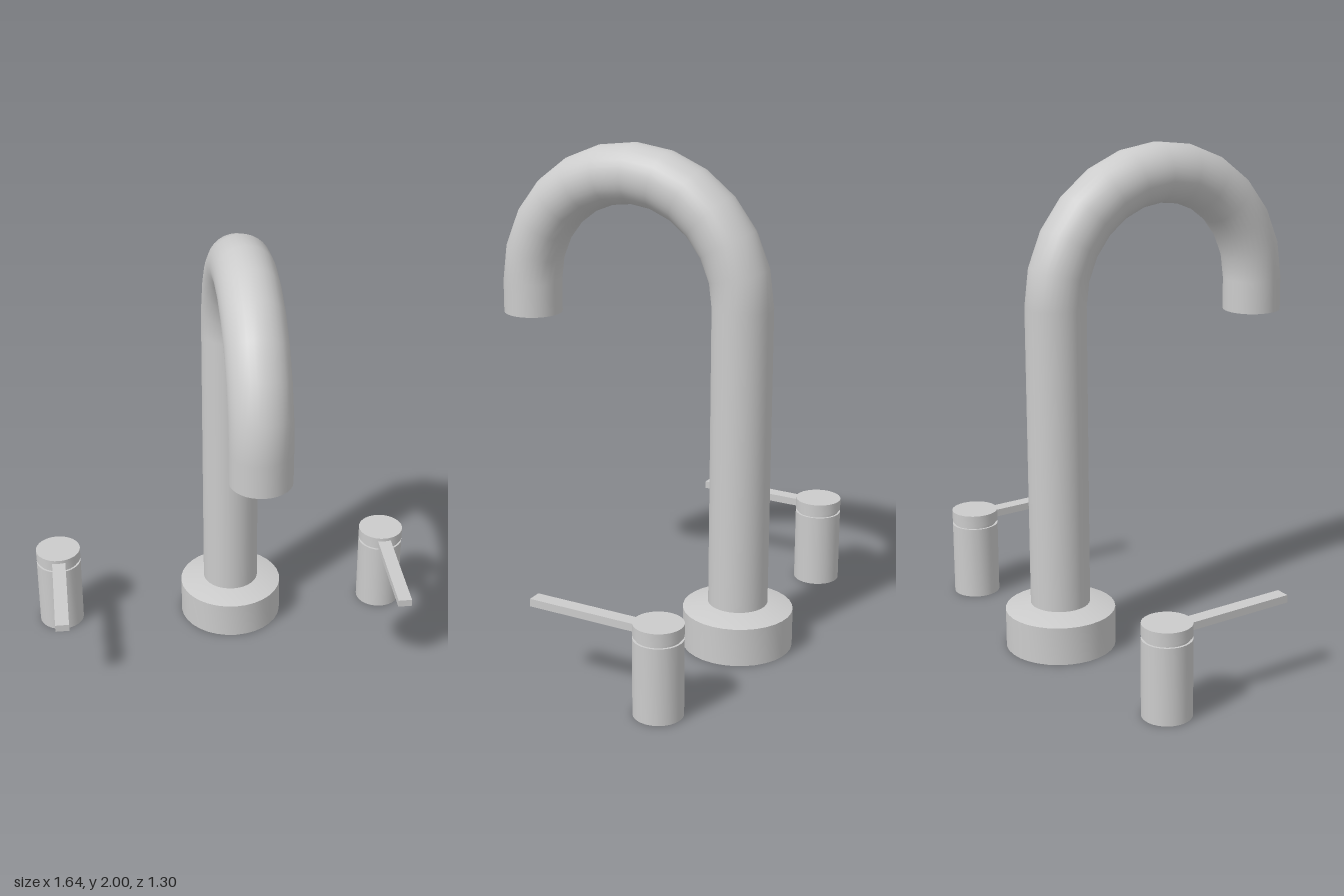
import * as THREE from 'three';
import { toCreasedNormals } from 'three/addons/utils/BufferGeometryUtils.js';

const material = new THREE.MeshStandardMaterial({ color: 0xcccccc });

function addMesh(parent, name, geometry, x = 0, y = 0, z = 0) {
  const mesh = new THREE.Mesh(geometry, material);
  mesh.name = name;
  mesh.position.set(x, y, z);
  parent.add(mesh);
  return mesh;
}

// Turned part from [radius, height] pairs, bottom to top, with sharp rims
function turned(profile, sides) {
  const points = profile.map(([r, y]) => new THREE.Vector2(r, y));
  return toCreasedNormals(new THREE.LatheGeometry(points, sides), 0.4);
}

// Gooseneck centre line: straight riser, half circle, short drop to the outlet
const RISER_Z = -0.425, BEND = 0.478, BEND_Y = 1.402, TIP_Y = 1.27, TUBE_R = 0.12;
const ARC_STEPS = 12, STEPS = ARC_STEPS + 2;

class Gooseneck extends THREE.Curve {
  getPoint(u, target = new THREE.Vector3()) {
    const s = u * STEPS;
    const a = Math.PI * THREE.MathUtils.clamp((s - 1) / ARC_STEPS, 0, 1);
    target.set(0, BEND_Y + BEND * Math.sin(a), RISER_Z + BEND * (1 - Math.cos(a)));
    if (s < 1) target.y = THREE.MathUtils.lerp(0.1, BEND_Y, s);
    if (s > STEPS - 1) target.y = THREE.MathUtils.lerp(BEND_Y, TIP_Y, s - STEPS + 1);
    return target;
  }
  getPointAt(u, target) {
    return this.getPoint(u, target);
  }
  getTangentAt(u, target = new THREE.Vector3()) {
    const a = Math.PI * THREE.MathUtils.clamp((u * STEPS - 1) / ARC_STEPS, 0, 1);
    return target.set(0, Math.cos(a), Math.sin(a));
  }
}

function createSpout() {
  const spout = new THREE.Group();
  spout.name = 'spout';
  spout.position.x = 0.041;
  addMesh(spout, 'spoutTube', new THREE.TubeGeometry(new Gooseneck(), STEPS, TUBE_R, 32));
  // Closed outlet, facing down
  const outlet = new THREE.CircleGeometry(TUBE_R, 32).rotateX(Math.PI / 2);
  addMesh(spout, 'spoutOutlet', outlet, 0, TIP_Y, RISER_Z + 2 * BEND);
  // Round base with a sloping shoulder
  const base = turned([[0, 0], [0.222, 0], [0.222, 0.157], [0.125, 0.182], [0, 0.182]], 32);
  addMesh(spout, 'spoutBase', base, 0, 0, RISER_Z);
  return spout;
}

function createHandle(name, x) {
  const handle = new THREE.Group();
  handle.name = name;
  handle.position.set(x, 0, -0.437);
  // Body, narrow groove and cap in one turned profile
  const body = turned([
    [0, 0], [0.097, 0], [0.097, 0.31], [0.088, 0.31],
    [0.088, 0.322], [0.097, 0.322], [0.097, 0.37], [0, 0.37],
  ], 32);
  addMesh(handle, 'handleBody', body);
  // Flat lever pointing forward
  addMesh(handle, 'lever', new THREE.BoxGeometry(0.058, 0.031, 0.49), 0, 0.34, 0.297);
  return handle;
}

export function createModel() {
  const model = new THREE.Group();
  model.name = 'widespreadFaucet';
  model.add(createSpout());
  model.add(createHandle('leftHandle', 0.725), createHandle('rightHandle', -0.725));
  return model;
}
